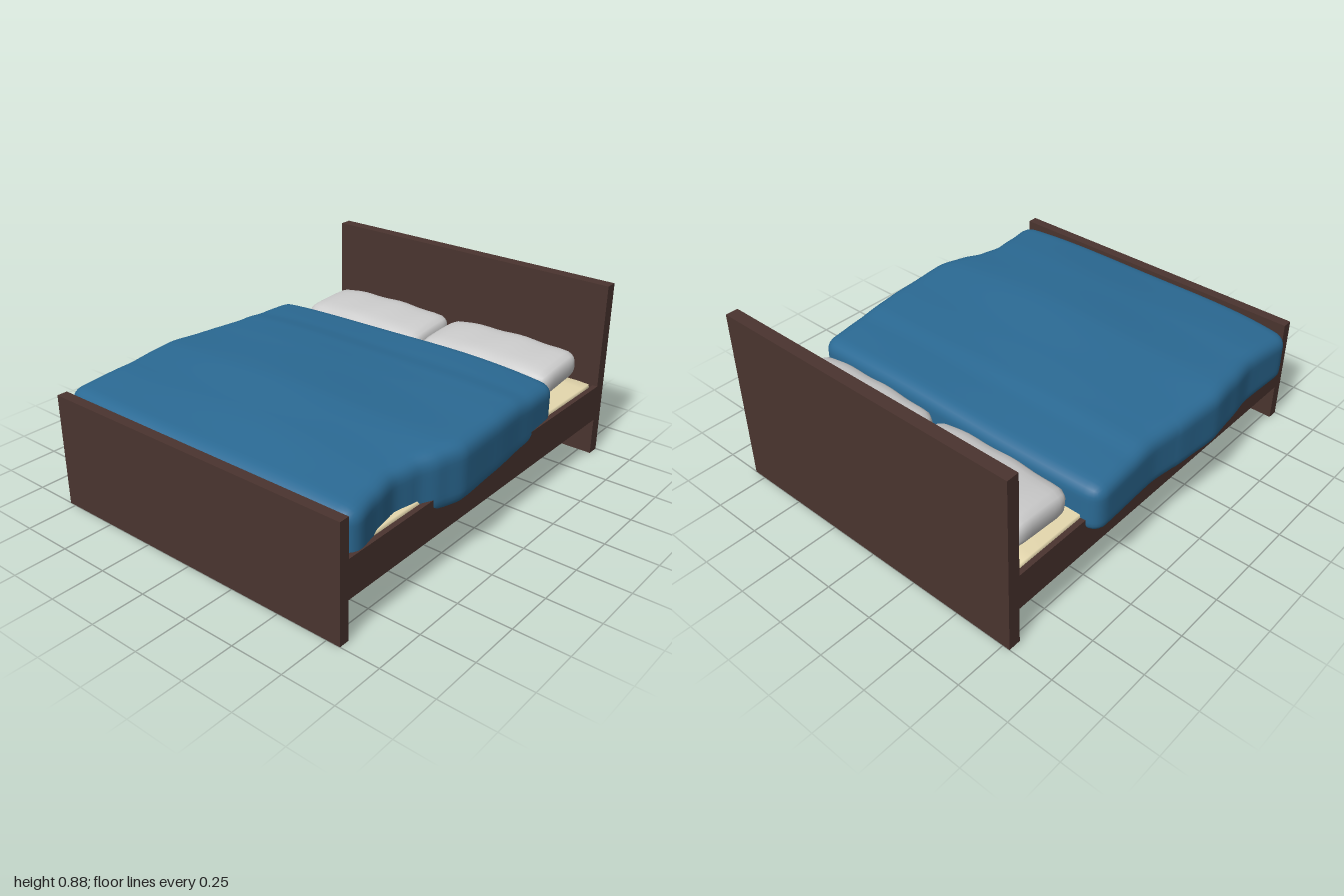
import * as THREE from 'three';
import { mergeVertices } from 'three/addons/utils/BufferGeometryUtils.js';

const material = (color) => new THREE.MeshStandardMaterial({ color });

// Straight interpolation through [x, value] points, eased between them
function profile(points) {
  return (x) => {
    if (x <= points[0][0]) return points[0][1];
    for (let i = 1; i < points.length; i++) {
      const [x0, v0] = points[i - 1], [x1, v1] = points[i];
      if (x <= x1) {
        const t = (x - x0) / (x1 - x0);
        return v0 + (v1 - v0) * (0.5 * t + 0.5 * t * t * (3 - 2 * t));
      }
    }
    return points[points.length - 1][1];
  };
}

// Rounded box with a subdivided surface; warp(v, half) bends each vertex
function softBox(size, r, segs, warp) {
  const geo = new THREE.BoxGeometry(...size, ...segs);
  geo.deleteAttribute('normal');
  geo.deleteAttribute('uv');
  const half = new THREE.Vector3(...size).multiplyScalar(0.5);
  const inMax = half.clone().subScalar(r), inMin = inMax.clone().negate();
  const p = geo.attributes.position;
  const v = new THREE.Vector3(), core = new THREE.Vector3();
  for (let i = 0; i < p.count; i++) {
    v.fromBufferAttribute(p, i);
    core.copy(v).clamp(inMin, inMax);
    v.sub(core).setLength(r).add(core);
    if (warp) warp(v, half);
    p.setXYZ(i, v.x, v.y, v.z);
  }
  const merged = mergeVertices(geo, 1e-5);
  merged.computeVertexNormals();
  return merged;
}

export function createModel() {
  const bed = new THREE.Group();
  bed.name = 'bed';
  const wood = material(0x4a342f);
  const cream = material(0xe5d8ae);
  const blue = material(0x2b6a94);
  const grey = material(0xcccccc);

  const add = (name, geo, mat, x = 0, y = 0, z = 0) => {
    const mesh = new THREE.Mesh(geo, mat);
    mesh.name = name;
    mesh.position.set(x, y, z);
    bed.add(mesh);
    return mesh;
  };
  // Box given by its limits on each axis
  const board = (name, x0, x1, y0, y1, z0, z1) =>
    add(name, new THREE.BoxGeometry(x1 - x0, y1 - y0, z1 - z0), wood,
      (x0 + x1) / 2, (y0 + y1) / 2, (z0 + z1) / 2);

  // Wooden frame
  const back = -0.785, front = 0.815;
  board('headboard', 0.94, 1, 0, 0.875, back, front);
  board('footboard', -1, -0.95, 0, 0.545, back, front);
  board('frontRail', -0.95, 0.94, 0.185, 0.365, front - 0.025, front);
  board('backRail', -0.95, 0.94, 0.185, 0.365, back, back + 0.025);
  board('basePanel', -0.95, 0.94, 0.185, 0.22, back + 0.025, front - 0.025);

  // Mattress
  add('mattress', softBox([1.84, 0.165, 1.55], 0.015, [24, 8, 24]), cream, -0.005, 0.3025, 0.015);

  // Duvet: wavy hems and a gently swelling top
  const frontHem = profile([[-0.95, 0.805], [-0.88, 0.81], [-0.75, 0.785], [-0.62, 0.765],
    [-0.5, 0.785], [-0.4, 0.825], [-0.27, 0.857], [0, 0.84], [0.25, 0.82], [0.55, 0.8]]);
  const backHem = profile([[-0.95, 0.835], [-0.62, 0.823], [-0.45, 0.845], [-0.27, 0.863],
    [-0.1, 0.85], [0.15, 0.826], [0.55, 0.843]]);
  const topLine = profile([[-0.95, 0.555], [-0.62, 0.583], [-0.33, 0.597], [0, 0.583],
    [0.2, 0.575], [0.32, 0.56], [0.56, 0.548]]);
  const duvet = softBox([1.51, 0.3, 1.66], 0.065, [60, 12, 64], (v, half) => {
    const x = v.x - 0.195;
    const across = v.z / half.z;
    const up = (v.y + half.y) / (2 * half.y);
    const sag = 0.025 * across * across + 0.005 * Math.sin(4 * across + 5 * x);
    const hemY = 0.28 + 0.02 * Math.abs(x + 0.2);
    v.y = hemY + up * (topLine(x) - sag - hemY);
    v.z = across * (across > 0 ? frontHem(x) : backHem(x));
    // the ends draw in slightly towards the corners
    const pull = 0.02 * across ** 4;
    v.x = x + (x > 0 ? -pull : (across < 0 ? 2 : 0.5) * pull) * Math.abs(v.x / half.x);
  });
  add('duvet', duvet, blue);

  // Pillows, tilted up towards the headboard
  const pillowGeo = softBox([0.345, 0.15, 0.72], 0.06, [10, 6, 16], (v, half) => {
    const along = v.z / half.z, across = v.x / half.x;
    const plump = 1 - 0.22 * along * along - 0.12 * across * across;
    const crease = 0.004 * Math.sin(9 * along) * across;
    v.y = v.y * (v.y > 0 ? 1.1 * plump : 1) + crease;
    v.x *= 1 - 0.05 * along ** 4;
  });
  [['frontPillow', 0.364], ['backPillow', -0.374]].forEach(([name, z]) => {
    add(name, pillowGeo, grey, 0.74, 0.467, z).rotation.z = 0.08;
  });

  return bed;
}
